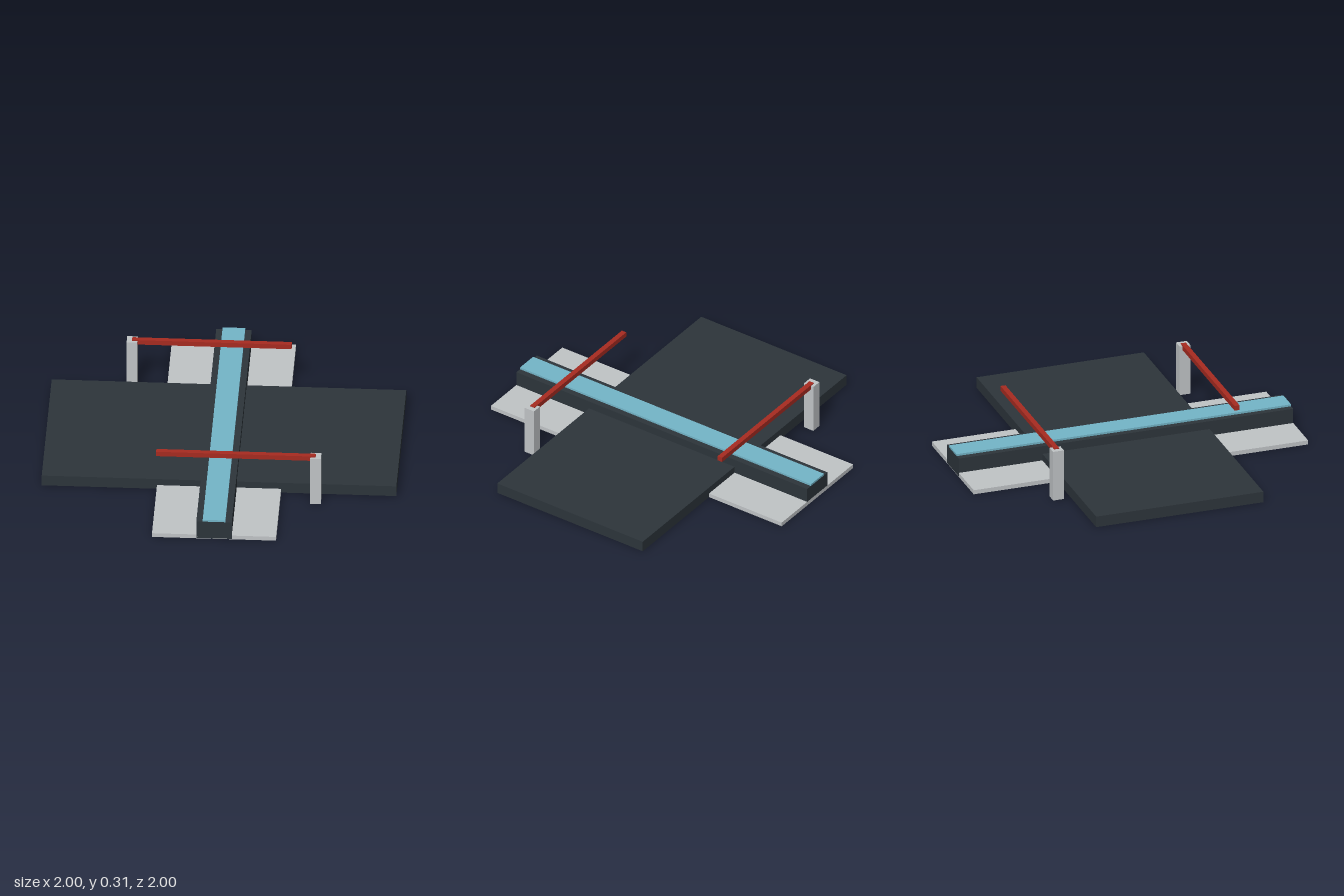
import * as THREE from 'three';

const material = (name, color) => {
  const m = new THREE.MeshStandardMaterial({ color });
  m.name = name;
  return m;
};

export function createModel() {
  const model = new THREE.Group();
  model.name = 'crossing';
  const charcoal = material('charcoal', 0x2d353b);
  const concrete = material('pale grey', 0xc1c5c7);
  const blue = material('pale blue', 0x74b6c9);
  const red = material('red', 0xa82b21);

  // Box given by its extents along each axis
  function box(parent, name, mat, [x0, x1], [y0, y1], [z0, z1]) {
    const mesh = new THREE.Mesh(new THREE.BoxGeometry(x1 - x0, y1 - y0, z1 - z0), mat);
    mesh.position.set((x0 + x1) / 2, (y0 + y1) / 2, (z0 + z1) / 2);
    mesh.name = name;
    parent.add(mesh);
  }

  // Road slab with the raised track bed running across it
  box(model, 'roadSlab', charcoal, [-1, 1], [0, 0.065], [-0.5, 0.5]);
  box(model, 'trackBed', charcoal, [-0.1, 0.1], [0.003, 0.113], [-1, 1]);
  box(model, 'trackStrip', blue, [-0.064, 0.064], [0.113, 0.125], [-1, 1]);

  // Each end has an apron, a post and a barrier arm; the back is the front turned half round
  for (const [name, turn] of [['frontEnd', 0], ['backEnd', Math.PI]]) {
    const end = new THREE.Group();
    end.name = name;
    end.rotation.y = turn;
    box(end, 'apron', concrete, [-0.35, 0.35], [0, 0.025], [0.5, 1]);
    box(end, 'barrierPost', concrete, [0.52, 0.58], [0, 0.301], [0.543, 0.607]);
    box(end, 'barrierArm', red, [-0.35, 0.55], [0.277, 0.306], [0.56, 0.59]);
    model.add(end);
  }
  return model;
}
